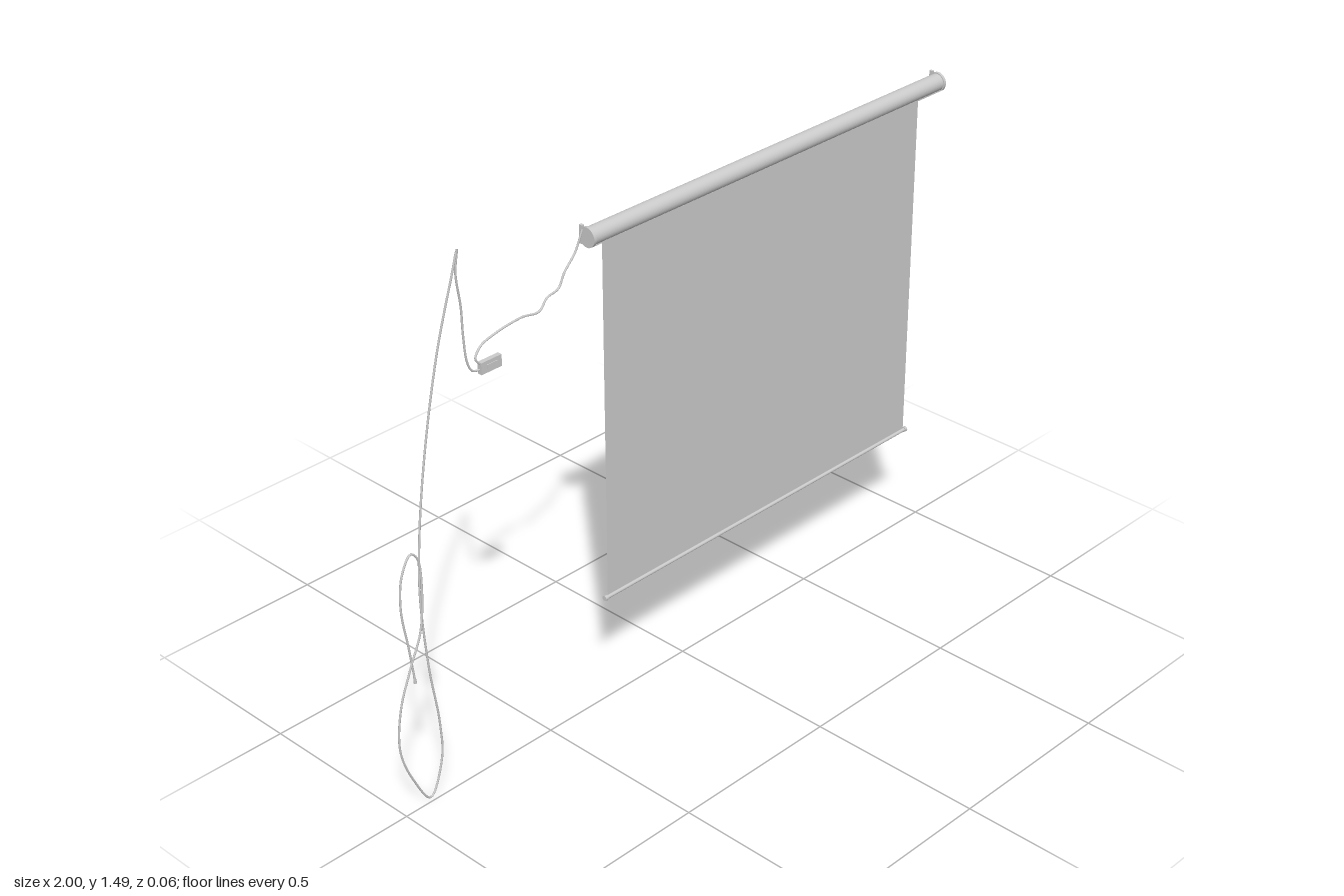
import * as THREE from 'three';

const AXIS_Y = 1.382, AXIS_Z = 0.004;   // centre line of the housing
const X0 = -0.338, X1 = 1.0;            // outer ends of the housing
const SCREEN_Z = -0.008;

export function createModel() {
  const group = new THREE.Group();
  const mat = new THREE.MeshStandardMaterial({ color: 0xcccccc });
  const flat = new THREE.MeshStandardMaterial({ color: 0xcccccc, flatShading: true });
  const thin = new THREE.MeshStandardMaterial({ color: 0xcccccc, side: THREE.DoubleSide });

  const add = (name, geometry, x, y, z, material = mat) => {
    const mesh = new THREE.Mesh(geometry, material);
    mesh.name = name;
    mesh.position.set(x, y, z);
    group.add(mesh);
    return mesh;
  };
  const box = (name, w, h, d, x, y, z) => add(name, new THREE.BoxGeometry(w, h, d), x, y, z);
  const rod = (name, r, x0, x1, y, z, sides = 24, material = mat) =>
    add(name, new THREE.CylinderGeometry(r, r, x1 - x0, sides).rotateZ(Math.PI / 2), (x0 + x1) / 2, y, z, material);

  // Housing: round shell with a slot along the bottom
  const shell = new THREE.Shape();
  const from = -Math.PI / 2 + 0.6, to = Math.PI * 1.5 - 0.6;
  shell.absarc(0, 0, 0.024, from, to, false);
  shell.absarc(0, 0, 0.021, to, from, true);
  shell.closePath();
  const shellGeo = new THREE.ExtrudeGeometry(shell, { depth: X1 - X0 - 0.008, bevelEnabled: false, curveSegments: 20 });
  add('housing', shellGeo.rotateY(Math.PI / 2), X0 + 0.004, AXIS_Y, AXIS_Z, flat);

  // Lips beside the slot
  for (const side of [-1, 1])
    box('slotLip', X1 - X0 - 0.008, 0.004, 0.004, (X0 + X1) / 2, AXIS_Y - 0.02, AXIS_Z + side * 0.014);

  // End caps with wall brackets
  for (const [edge, dir] of [[X0, 1], [X1, -1]]) {
    const inner = edge + dir * 0.008;
    rod('endCap', 0.027, Math.min(edge, inner), Math.max(edge, inner), AXIS_Y, AXIS_Z, 24);
    box('wallBracket', 0.008, 0.05, 0.01, edge + dir * 0.004, AXIS_Y + 0.002, -0.017);
  }

  // Inner roller, fabric and weighted bottom bar
  rod('roller', 0.012, X0 + 0.008, X1 - 0.008, AXIS_Y, AXIS_Z);
  const top = AXIS_Y, bottom = 0.312, left = -0.275, right = 0.931;
  add('screen', new THREE.PlaneGeometry(right - left, top - bottom), (left + right) / 2, (top + bottom) / 2, SCREEN_Z, thin);
  rod('bottomBar', 0.0055, -0.28, 0.936, bottom, SCREEN_Z + 0.001, 12);
  for (const x of [-0.284, 0.938])
    rod('barCap', 0.0075, x - 0.004, x + 0.004, bottom, SCREEN_Z + 0.001, 12);

  // Cables
  const cable = (name, points, segments) => {
    const curve = new THREE.CatmullRomCurve3(points.map(p => new THREE.Vector3(...p)), false, 'centripetal');
    add(name, new THREE.TubeGeometry(curve, segments, 0.0028, 8), 0, 0, 0);
  };
  cable('motorCable', [
    [-0.336, 1.40, -0.012], [-0.356, 1.345, -0.017], [-0.393, 1.30, -0.019], [-0.414, 1.265, -0.019],
    [-0.452, 1.254, -0.019], [-0.479, 1.227, -0.019], [-0.537, 1.233, -0.019], [-0.623, 1.222, -0.02],
    [-0.671, 1.206, -0.02], [-0.69, 1.18, -0.018], [-0.672, 1.156, -0.016],
  ], 120);
  cable('powerCable', [
    [-0.676, 1.147, -0.016], [-0.702, 1.153, -0.017], [-0.716, 1.18, -0.018], [-0.725, 1.254, -0.018],
    [-0.73, 1.334, -0.016], [-0.745, 1.43, -0.012], [-0.739, 1.49, -0.01], [-0.756, 1.43, -0.012],
    [-0.805, 1.238, -0.022], [-0.853, 0.987, -0.028], [-0.885, 0.773, -0.026], [-0.901, 0.612, -0.018],
    [-0.89, 0.398, -0.013], [-0.864, 0.211, -0.013], [-0.864, 0.104, -0.013], [-0.906, 0.005, -0.013],
    [-0.955, 0.078, -0.013], [-0.996, 0.195, -0.013], [-0.987, 0.318, -0.012], [-0.95, 0.425, -0.01],
    [-0.912, 0.516, -0.01], [-0.896, 0.64, -0.015], [-0.901, 0.715, -0.019], [-0.922, 0.738, -0.02],
    [-0.953, 0.69, -0.019], [-0.964, 0.602, -0.017], [-0.95, 0.48, -0.012], [-0.94, 0.395, -0.01],
  ], 320);

  // Hand switch and cable end
  box('switchBox', 0.066, 0.032, 0.013, -0.647, 1.151, -0.016);
  box('switchButtons', 0.034, 0.012, 0.003, -0.645, 1.151, -0.009);
  add('plug', new THREE.CylinderGeometry(0.003, 0.0045, 0.022, 10).rotateZ(0.12), -0.939, 0.386, -0.01);

  return group;
}
